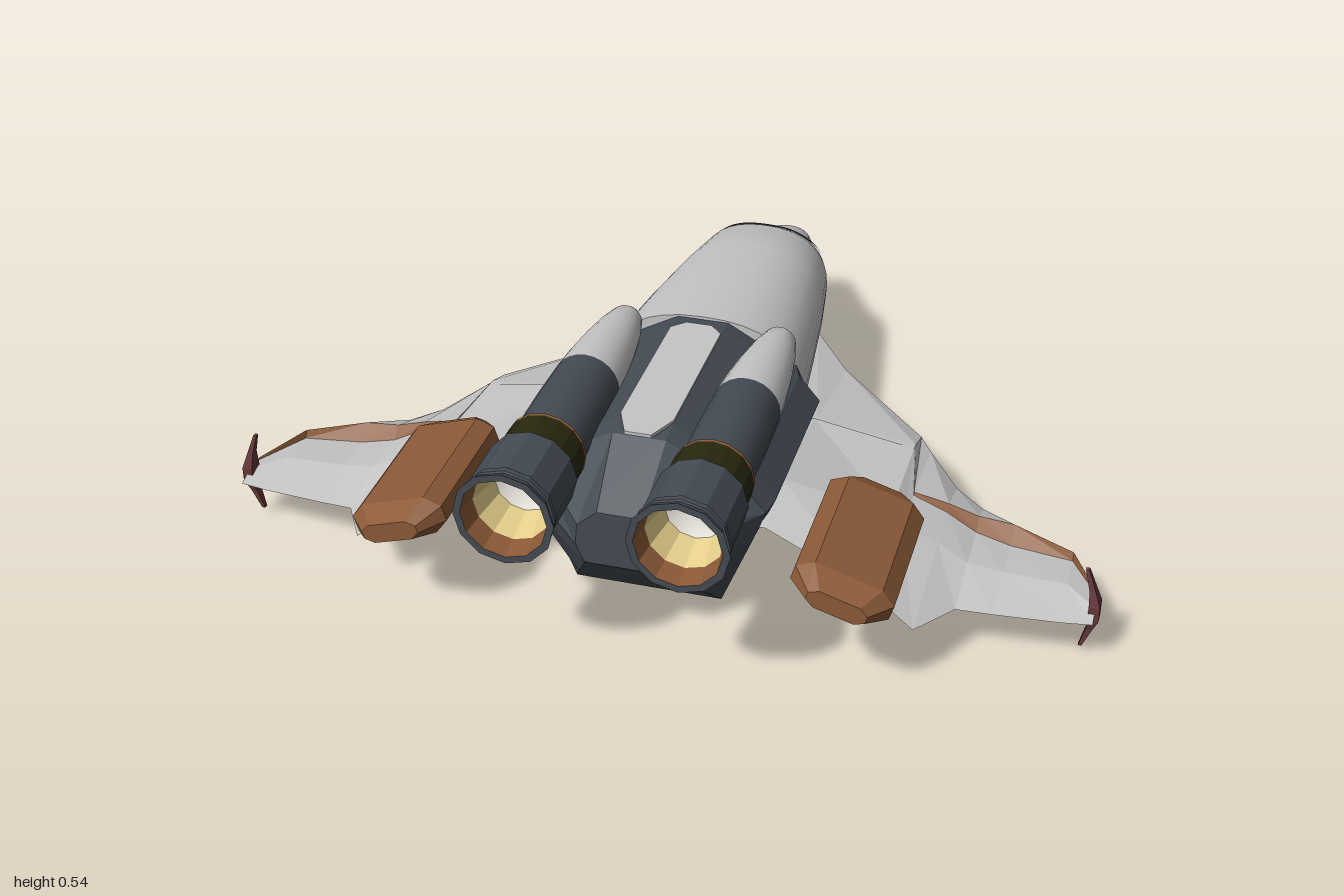
import * as THREE from 'three';
import { toCreasedNormals } from 'three/addons/utils/BufferGeometryUtils.js';

const mat = (name, color, opts = {}) => {
  const m = new THREE.MeshStandardMaterial({ color, ...opts });
  m.name = name;
  return m;
};

// Joins closed loops of [x,y,z] into a capped solid, faces turned outward.
// pick(section, side) gives the material index of each panel.
function loft(loops, crease = 0, pick = () => 0) {
  const tris = [[], []];
  const n = loops[0].length;
  for (let s = 0; s < loops.length - 1; s++) {
    for (let i = 0; i < n; i++) {
      const j = (i + 1) % n, A = loops[s], B = loops[s + 1];
      tris[pick(s, i)].push([A[i], A[j], B[j]], [A[i], B[j], B[i]]);
    }
  }
  const first = loops[0], last = loops[loops.length - 1];
  for (let i = 1; i < n - 1; i++) {
    tris[0].push([first[0], first[i + 1], first[i]], [last[0], last[i], last[i + 1]]);
  }
  const all = [...tris[0], ...tris[1]];
  const v = p => new THREE.Vector3(...p);
  const volume = all.reduce((sum, [a, b, c]) => sum + v(a).dot(v(b).cross(v(c))), 0);
  const pos = all.flatMap(([a, b, c]) => (volume > 0 ? [a, b, c] : [a, c, b])).flat();
  let g = new THREE.BufferGeometry();
  g.setAttribute('position', new THREE.Float32BufferAttribute(pos, 3));
  g.computeVertexNormals();
  if (crease) g = toCreasedNormals(g, crease);
  if (tris[1].length) {
    g.addGroup(0, tris[0].length * 3, 0);
    g.addGroup(tris[0].length * 3, tris[1].length * 3, 1);
  }
  return g;
}

// Fuselage stations: z, half width, bottom, top
const STATIONS = [
  [-0.872, 0.012, 0.205, 0.23], [-0.86, 0.04, 0.185, 0.25], [-0.83, 0.06, 0.17, 0.268],
  [-0.78, 0.08, 0.157, 0.288], [-0.70, 0.115, 0.137, 0.318], [-0.65, 0.135, 0.12, 0.342],
  [-0.61, 0.15, 0.112, 0.377], [-0.55, 0.168, 0.107, 0.41], [-0.4, 0.192, 0.1, 0.43],
  [-0.2, 0.217, 0.095, 0.45], [0.025, 0.242, 0.09, 0.46],
];
function hullPoint(z, a, offset = 0) {
  let k = 0;
  while (k < STATIONS.length - 2 && STATIONS[k + 1][0] < z) k++;
  const A = STATIONS[k], B = STATIONS[k + 1], t = (z - A[0]) / (B[0] - A[0]);
  const [w, b, top] = [1, 2, 3].map(i => A[i] + (B[i] - A[i]) * t);
  const pw = c => Math.sign(c) * Math.abs(c) ** 0.87;
  return [(w + offset) * pw(Math.cos(a)), (b + top) / 2 + ((top - b) / 2 + offset) * pw(Math.sin(a)), z];
}

// Wing stations: x, then z,y of leading edge, crest, step, rear crest, trailing edge, then underside y
const WING = [
  [0.17, -0.46, 0.17, 0.04, 0.235, 0.06, 0.25, 0.40, 0.30, 0.54, 0.27, 0.165],
  [0.28, -0.29, 0.175, 0.04, 0.235, 0.06, 0.25, 0.38, 0.29, 0.53, 0.26, 0.17],
  [0.52, -0.02, 0.19, 0.06, 0.22, 0.08, 0.222, 0.35, 0.225, 0.60, 0.20, 0.165],
  [0.55, 0.02, 0.18, 0.23, 0.205, 0.235, 0.20, 0.36, 0.20, 0.61, 0.18, 0.145],
  [0.63, 0.11, 0.15, 0.225, 0.185, 0.242, 0.172, 0.36, 0.172, 0.64, 0.14, 0.10],
  [0.70, 0.155, 0.135, 0.227, 0.165, 0.255, 0.14, 0.38, 0.145, 0.52, 0.12, 0.095],
  [0.78, 0.215, 0.13, 0.23, 0.16, 0.264, 0.125, 0.38, 0.135, 0.51, 0.115, 0.097],
  [0.92, 0.268, 0.118, 0.272, 0.14, 0.28, 0.122, 0.38, 0.132, 0.495, 0.112, 0.1],
  [0.99, 0.385, 0.112, 0.39, 0.124, 0.395, 0.12, 0.44, 0.124, 0.485, 0.112, 0.1],
];

export function createModel() {
  const grey = mat('light grey', 0xc6c6c6);
  const slate = mat('dark slate', 0x444b53);
  const olive = mat('dark olive', 0x28280f);
  const brown = mat('rust brown', 0x8c5a37);
  const maroon = mat('maroon', 0x67393a);
  const cream = mat('cream', 0xe6d08c);
  const white = mat('glow white', 0xf2eee4);
  const glass = mat('windshield slate', 0x444b53, { side: THREE.DoubleSide });

  const model = new THREE.Group();
  const add = (name, geometry, material, parent = model) => {
    const m = new THREE.Mesh(geometry, material);
    m.name = name;
    parent.add(m);
    return m;
  };

  // Smooth forward fuselage
  const ring = z => Array.from({ length: 36 }, (_, i) => hullPoint(z, (i / 36) * Math.PI * 2));
  add('fuselage', loft(STATIONS.map(s => ring(s[0])), 0.7), grey);

  // Windshield skin following the fuselage, with a notched lower edge
  const notch = [[0, -0.635], [0.3, -0.635], [0.4, -0.65], [0.6, -0.645], [0.72, -0.605], [1, -0.612]];
  const edge = u => {
    let k = 0;
    while (k < notch.length - 2 && notch[k + 1][0] < u) k++;
    const [a, b] = [notch[k], notch[k + 1]];
    return a[1] + ((b[1] - a[1]) * (u - a[0])) / (b[0] - a[0]);
  };
  const skin = new THREE.PlaneGeometry(2, 1, 40, 6);
  const sp = skin.attributes.position;
  for (let i = 0; i < sp.count; i++) {
    const u = sp.getX(i), t = sp.getY(i) + 0.5;
    const back = -0.55 - 0.05 * u * u;
    sp.setXYZ(i, ...hullPoint(back + (edge(Math.abs(u)) - back) * t, Math.PI / 2 - u * 1.1, 0.004));
  }
  skin.computeVertexNormals();
  add('windshield', skin, glass);

  // Faceted engine block
  const block = [
    [0.02, [0.15, 0.09], [0.235, 0.21], [0.25, 0.3], [0.225, 0.36], [0.06, 0.452]],
    [0.06, [0.17, 0], [0.25, 0.21], [0.29, 0.3], [0.24, 0.36], [0.06, 0.455]],
    [0.48, [0.17, 0.01], [0.25, 0.21], [0.29, 0.3], [0.24, 0.355], [0.06, 0.455]],
    [0.53, [0.148, 0.06], [0.25, 0.215], [0.282, 0.3], [0.235, 0.355], [0.06, 0.445]],
    [0.68, [0.08, 0.205], [0.085, 0.215], [0.1, 0.25], [0.095, 0.3], [0.05, 0.34]],
  ].map(([z, ...half]) => [
    ...half.map(([x, y]) => [x, y, z]),
    ...half.slice().reverse().map(([x, y]) => [-x, y, z]),
  ]);
  add('engineBlock', loft(block), slate);

  // Pale panel along the spine
  const outline = [[0.03, 0.06], [0.06, 0.09], [0.06, 0.47], [0.03, 0.54]];
  const panel = y => [
    ...outline.map(([x, z]) => [x, y, z]),
    ...outline.slice().reverse().map(([x, z]) => [-x, y, z]),
  ];
  add('spinePanel', loft([panel(0.453), panel(0.461)]), grey);

  // Lathe along z from [radius, z] points
  const turned = (points, sides, crease) => {
    const g = new THREE.LatheGeometry(points.map(p => new THREE.Vector2(...p)), sides);
    return toCreasedNormals(g.rotateX(Math.PI / 2), crease);
  };

  for (const s of [1, -1]) {
    const side = s > 0 ? 'left' : 'right';

    // Wing with a rust step behind the outer leading edge
    const loops = WING.map(([x, ...w]) => {
      const p = [0, 2, 4, 6, 8].map(i => [s * x, w[i + 1], w[i]]);
      return [...p, [s * x, w[10], w[6]], [s * x, w[10], w[2]]];
    });
    add(side + 'Wing', loft(loops, 0, (k, i) => (i === 1 && k >= 3 ? 1 : 0)), [grey, brown]);

    // Engine nacelle, ring and nozzle
    const engine = new THREE.Group();
    engine.name = side + 'Engine';
    engine.position.set(s * 0.185, 0.427, 0);
    model.add(engine);
    add('nacelleNose', turned([[0.001, 0], [0.022, 0.005], [0.038, 0.03], [0.052, 0.09], [0.065, 0.18],
      [0.073, 0.26], [0.077, 0.33]], 24, 0.8), grey, engine);
    add('nacelle', turned([[0.077, 0.33], [0.08, 0.45], [0.08, 0.62]], 24, 0.5), slate, engine);
    add('ringTrim', turned([[0.078, 0.602], [0.09, 0.602], [0.09, 0.61]], 16, 0.3), brown, engine);
    add('ring', turned([[0.09, 0.61], [0.09, 0.69]], 16, 0.3), olive, engine);
    add('nozzle', turned([[0.085, 0.688], [0.1, 0.692], [0.1, 0.83], [0.104, 0.835], [0.104, 0.848],
      [0.1, 0.85], [0.11, 0.872], [0.094, 0.872]], 12, 0.3), slate, engine);
    add('nozzleLiner', turned([[0.094, 0.872], [0.085, 0.82]], 12, 0.3), brown, engine);
    add('nozzleThroat', turned([[0.085, 0.82], [0.066, 0.74]], 12, 0.3), cream, engine);
    add('nozzleGlow', turned([[0.066, 0.74], [0.04, 0.725], [0.001, 0.72]], 12, 0.8), white, engine);

    // Chamfered pod resting on the wing, rolled outward
    const pod = [[0.335, 0.6, 0.5], [0.385, 1, 1], [0.71, 1, 1], [0.765, 0.6, 0.5]].map(([z, kx, ky]) =>
      [[0.11, 0.018], [0.075, 0.045], [-0.075, 0.045], [-0.11, 0.018],
        [-0.11, -0.018], [-0.075, -0.045], [0.075, -0.045], [0.11, -0.018]]
        .map(([x, y]) => [x * kx, y * ky, z]));
    const podMesh = add(side + 'Pod', loft(pod), brown);
    podMesh.position.set(s * 0.49, 0.262, 0);
    podMesh.rotation.z = -s * 0.3;

    // Curved wing tip fin: y, centre x, half depth, half thickness
    const fin = [[0.02, 0.965, 0.005, 0.004], [0.07, 0.981, 0.011, 0.007], [0.1, 0.988, 0.019, 0.012],
      [0.135, 0.988, 0.019, 0.012], [0.17, 0.981, 0.011, 0.007], [0.222, 0.965, 0.005, 0.004]]
      .map(([y, x, d, t]) => [[t, d], [-t, d], [-t, -d], [t, -d]].map(([dx, dz]) => [s * (x + dx), y, 0.437 + dz]));
    add(side + 'TipFin', loft(fin), maroon);
  }
  return model;
}
